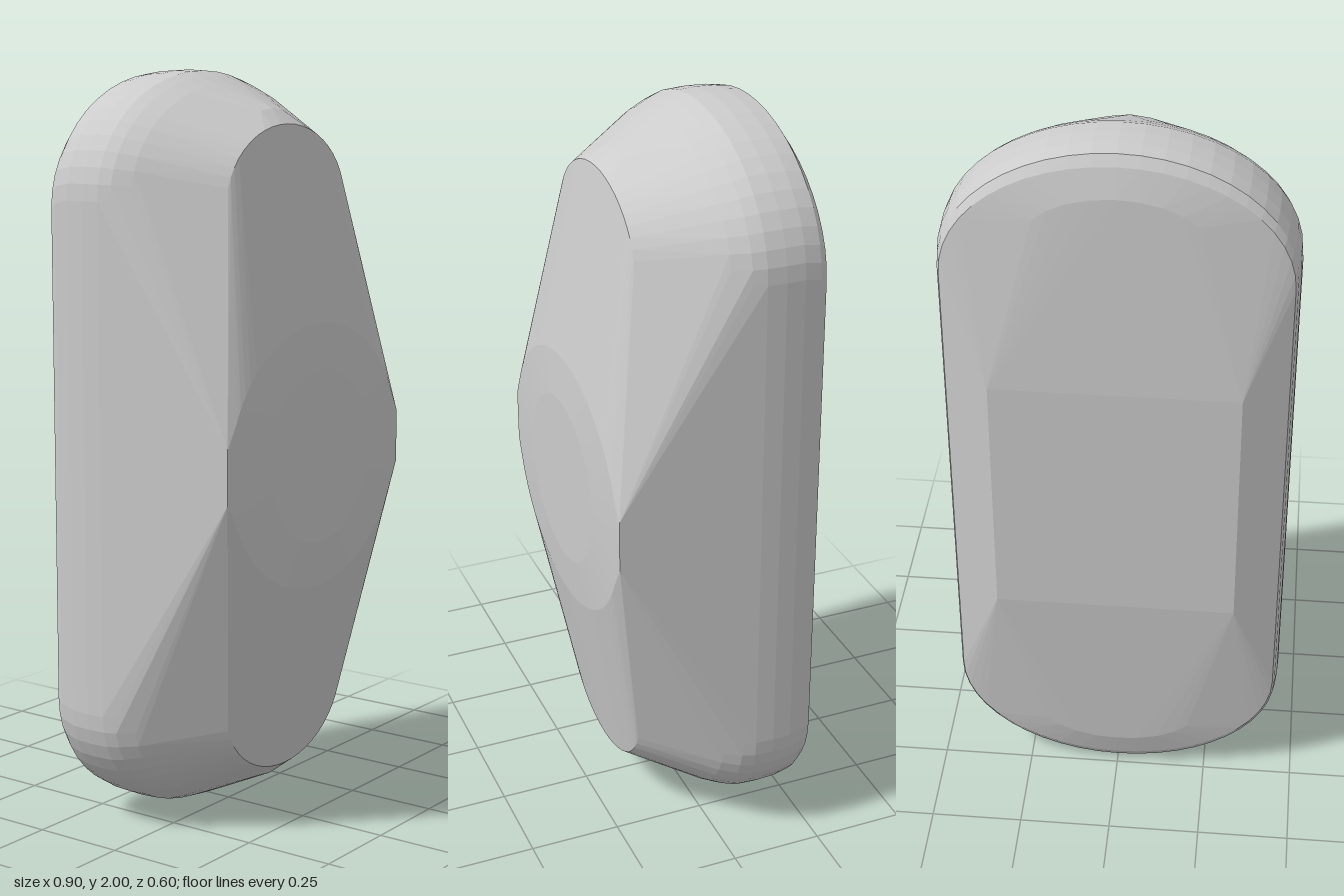
import * as THREE from 'three';
import { ConvexGeometry } from 'three/addons/geometries/ConvexGeometry.js';

// Stadium ring at depth z: half-ellipse caps (rx, top - shoulder) mirrored about y = 1
function stadium(z, rx, top, shoulder, steps = 24) {
  const points = [];
  for (let i = 0; i <= steps; i++) {
    const a = (i / steps) * Math.PI;
    const x = rx * Math.cos(a);
    const y = shoulder + (top - shoulder) * Math.sin(a);
    points.push(new THREE.Vector3(x, y, z), new THREE.Vector3(x, 2 - y, z));
  }
  return points;
}

export function createModel() {
  const group = new THREE.Group();
  group.name = 'pebbleBody';

  const points = [
    // back bevel and rounded rim
    ...stadium(-0.263, 0.23, 1.89, 1.76, 12),
    ...stadium(-0.242, 0.435, 1.965, 1.65),
    ...stadium(-0.225, 0.441, 1.992, 1.66),
    // widest band
    ...stadium(-0.18, 0.447, 1.998, 1.67),
    ...stadium(-0.13, 0.449, 2.0, 1.67),
    ...stadium(-0.08, 0.447, 1.997, 1.67),
    // rounded shoulder towards the front
    ...stadium(-0.045, 0.438, 1.983, 1.67),
    ...stadium(0.0, 0.413, 1.963, 1.67),
    // sloping ends of the front face
    ...stadium(0.14, 0.2, 1.9, 1.7, 12),
    ...stadium(0.19, 0.27, 1.86, 1.65),
    // shallow stepped dome in the middle of the front
    ...stadium(0.29, 0.39, 1.35, 1.0, 32),
    ...stadium(0.3, 0.23, 1.23, 1.0, 32),
  ];
  // flat back panel and the short side ridges of the dome
  for (const sx of [-1, 1]) {
    for (const sy of [-1, 1]) {
      points.push(new THREE.Vector3(sx * 0.32, 1 + sy * 0.35, -0.3));
      points.push(new THREE.Vector3(sx * 0.396, 1 + sy * 0.07, 0.288));
    }
  }

  const material = new THREE.MeshStandardMaterial({ color: 0xcccccc, flatShading: true });
  const shell = new THREE.Mesh(new ConvexGeometry(points), material);
  shell.name = 'shell';
  group.add(shell);
  return group;
}
